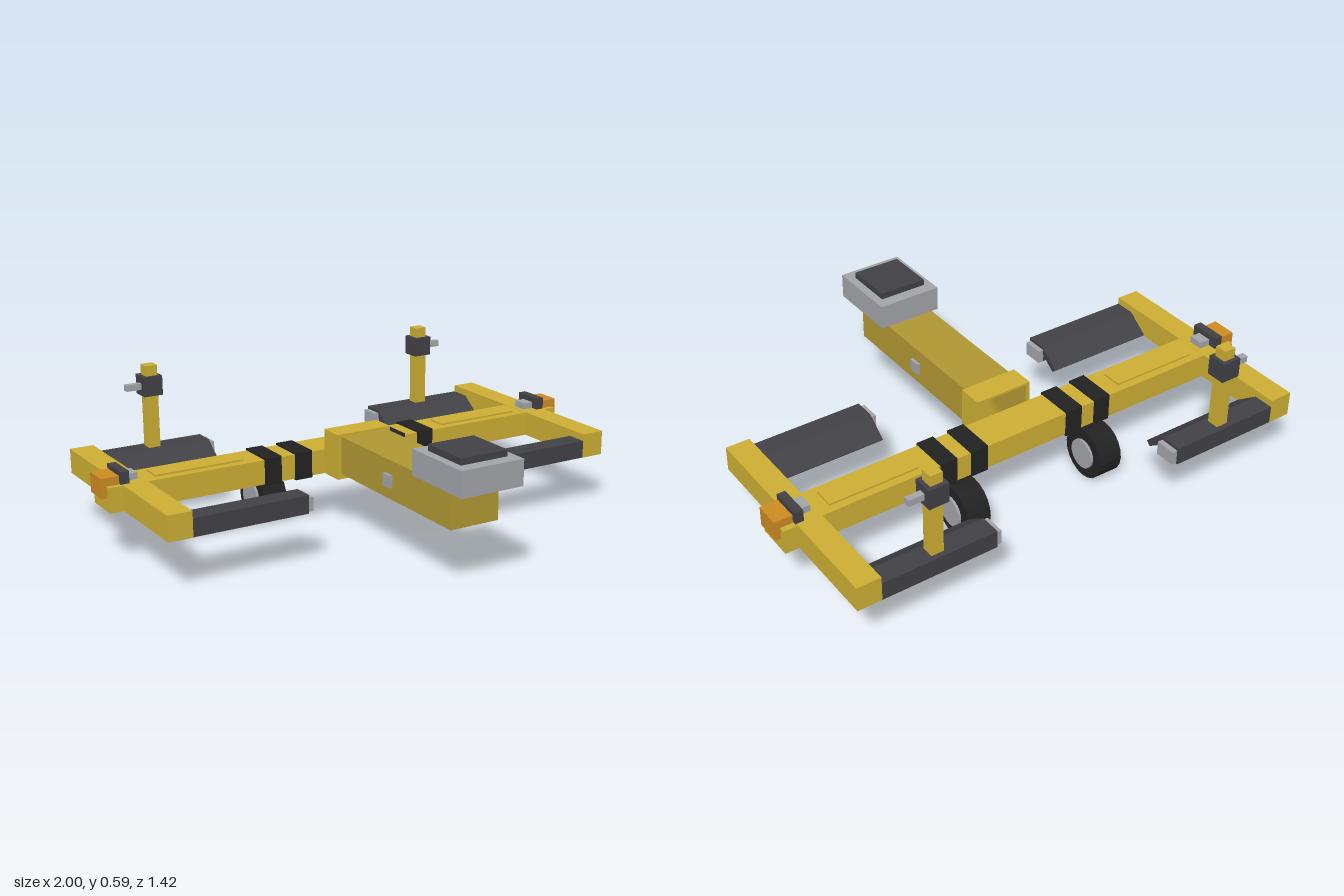
import * as THREE from 'three';

const mat = (name, color) => {
  const m = new THREE.MeshStandardMaterial({ color });
  m.name = name;
  return m;
};

export function createModel() {
  const root = new THREE.Group();
  root.name = 'wheelLiftFrame';

  const yellow = mat('yellow', 0xcbad33);
  const ochre = mat('ochre', 0xaf9632);
  const dark = mat('darkGrey', 0x414146);
  const black = mat('black', 0x222223);
  const grey = mat('lightGrey', 0xa0a3a8);
  const orange = mat('orange', 0xcc8a22);

  // Box given by its limits on each axis
  const box = (name, m, x0, x1, y0, y1, z0, z1, parent = root) => {
    const mesh = new THREE.Mesh(new THREE.BoxGeometry(x1 - x0, y1 - y0, z1 - z0), m);
    mesh.position.set((x0 + x1) / 2, (y0 + y1) / 2, (z0 + z1) / 2);
    mesh.name = name;
    parent.add(mesh);
    return mesh;
  };
  // The same box on the left and right sides
  const pair = (name, m, x0, x1, ...rest) => {
    box(name + 'Left', m, x0, x1, ...rest);
    box(name + 'Right', m, -x1, -x0, ...rest);
  };
  // Cylinder lying along x
  const disc = (name, m, r, width, x, y, z) => {
    const g = new THREE.CylinderGeometry(r, r, width, 20).toNonIndexed();
    g.computeVertexNormals();
    const mesh = new THREE.Mesh(g.rotateZ(Math.PI / 2), m);
    mesh.position.set(x, y, z);
    mesh.name = name;
    root.add(mesh);
  };

  // Cross beam, cover plates and side arms
  box('crossBeam', yellow, -0.98, 0.98, 0.2, 0.294, -0.343, -0.2);
  pair('beamCover', yellow, 0.44, 0.79, 0.29, 0.301, -0.312, -0.232);
  pair('sideArm', yellow, 0.835, 0.927, 0.2, 0.295, -0.71, 0.168);

  // Central boom with collar, pins and head
  box('boom', ochre, -0.098, 0.098, 0.22, 0.365, -0.2, 0.612);
  box('boomCollar', yellow, -0.115, 0.115, 0.2, 0.374, -0.2, -0.103);
  pair('boomPin', grey, 0.09, 0.11, 0.266, 0.312, 0.202, 0.25);
  box('boomHead', grey, -0.127, 0.127, 0.365, 0.461, 0.418, 0.71);
  box('headPad', dark, -0.095, 0.095, 0.461, 0.485, 0.465, 0.66);

  // Tyre cradles: bar plus a sloping plate falling inward
  const plateShape = new THREE.Shape([
    [0.085, 0.268], [0, 0.205], [0.017, 0.189], [0.1, 0.249],
  ].map(([z, y]) => new THREE.Vector2(z, y)));
  const plateGeo = new THREE.ExtrudeGeometry(plateShape, { depth: 0.445, bevelEnabled: false });
  plateGeo.translate(0, 0, -0.2225);
  for (const s of [-1, 1]) {
    const side = s > 0 ? 'Left' : 'Right';
    for (const front of [true, false]) {
      const name = (front ? 'front' : 'rear') + 'Cradle' + side;
      const g = new THREE.Group();
      g.name = name;
      box('cradleBar', dark, -0.2225, 0.2225, 0.2, 0.268, 0.085, 0.166, g);
      const plate = new THREE.Mesh(plateGeo, dark);
      plate.name = 'cradlePlate';
      plate.rotation.y = -Math.PI / 2;
      g.add(plate);
      // Grey end cap at the inner end
      const inner = front ? -s : s;
      box('cradleEnd', grey, inner * 0.232 - 0.011, inner * 0.232 + 0.011, 0.204, 0.257, 0.08, 0.16, g);
      g.position.set(s * 0.6125, 0, front ? 0 : -0.544);
      if (!front) g.rotation.y = Math.PI;
      root.add(g);
    }
  }

  // Upright posts with sliding blocks and locking pins
  pair('post', yellow, 0.588, 0.635, 0.262, 0.59, -0.69, -0.643);
  pair('postBlock', dark, 0.574, 0.65, 0.474, 0.55, -0.705, -0.63);
  pair('postPin', grey, 0.65, 0.71, 0.498, 0.522, -0.68, -0.655);

  // Straps around the beam and the dolly wheels
  pair('innerStrap', black, 0.173, 0.243, 0.195, 0.301, -0.348, -0.194);
  pair('outerStrap', black, 0.302, 0.37, 0.195, 0.301, -0.348, -0.194);
  for (const s of [-1, 1]) {
    const side = s > 0 ? 'Left' : 'Right';
    disc('tyre' + side, black, 0.1, 0.096, s * 0.292, 0.1, -0.367);
    disc('hub' + side, grey, 0.058, 0.116, s * 0.292, 0.1, -0.367);
  }

  // Marker lamps on the beam ends
  pair('lamp', orange, 0.932, 1.0, 0.25, 0.325, -0.32, -0.222);
  pair('lampBracket', dark, 0.898, 0.93, 0.29, 0.341, -0.333, -0.212);
  pair('lampStud', grey, 0.855, 0.9, 0.292, 0.32, -0.3, -0.242);

  return root;
}
